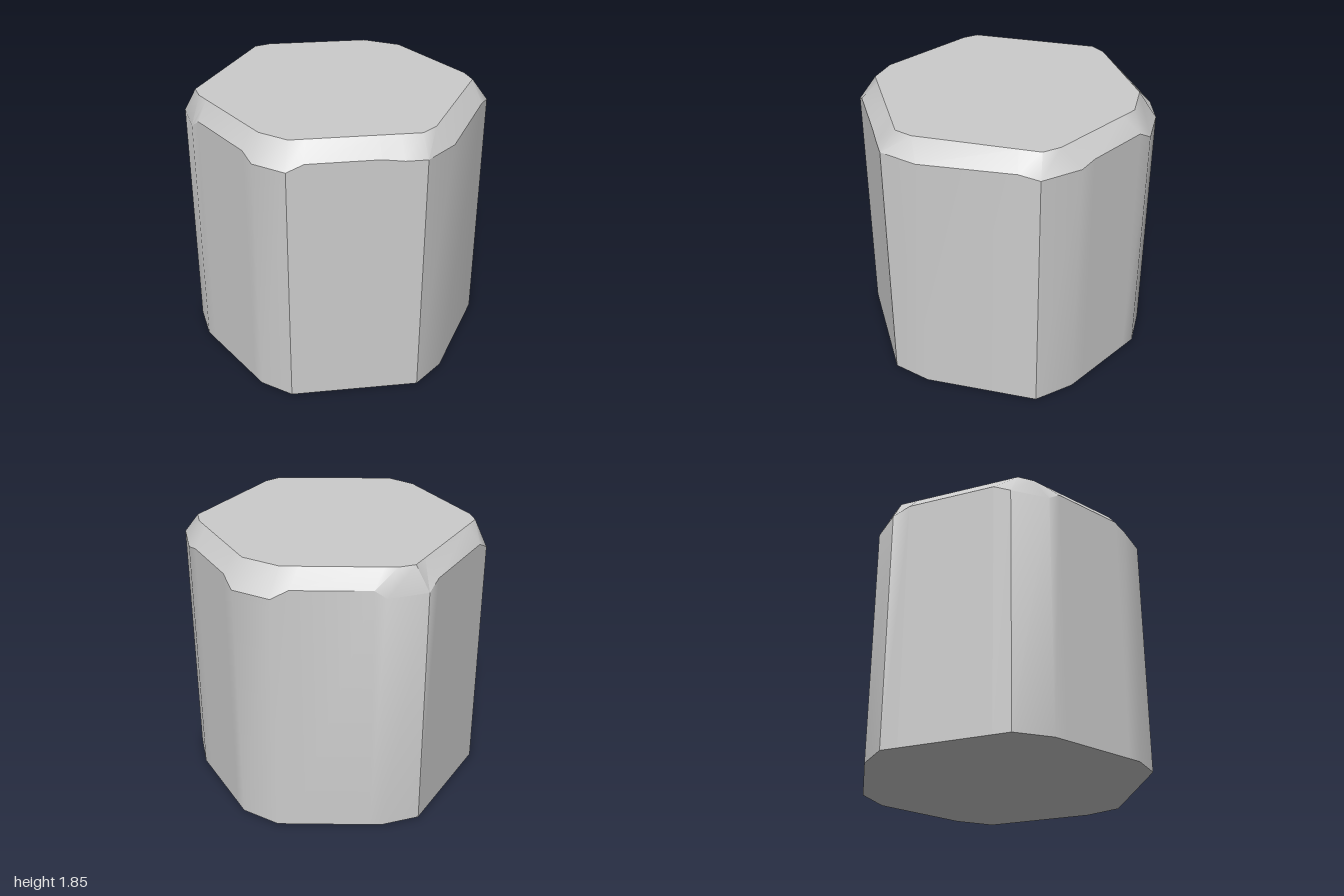
import * as THREE from 'three';
import { toCreasedNormals } from 'three/addons/utils/BufferGeometryUtils.js';

// Corners of the column: [x, z, rim height, x on top face, z on top face]
const CORNERS = [
  [-0.18, -0.99, 1.68, -0.17, -0.87], [0.10, -1.00, 1.675, 0.10, -0.885],
  [0.70, -0.69, 1.715, 0.71, -0.56], [0.905, -0.49, 1.715, 0.80, -0.47],
  [0.935, 0.28, 1.72, 0.83, 0.34], [0.86, 0.54, 1.72, 0.79, 0.46],
  [0.135, 1.00, 1.69, 0.10, 0.89], [-0.105, 0.98, 1.69, -0.11, 0.87],
  [-0.73, 0.65, 1.68, -0.73, 0.54], [-0.91, 0.45, 1.68, -0.81, 0.46],
  [-0.94, -0.41, 1.69, -0.84, -0.41], [-0.77, -0.62, 1.69, -0.77, -0.50],
];
// Along the long sides the rim rises between the corners: [fraction, height]
const RISES = {
  1: [[0.17, 1.74], [0.83, 1.74]],
  3: [[0.18, 1.74]],
  5: [[0.165, 1.72], [0.33, 1.74], [0.87, 1.74]],
  7: [[0.136, 1.74], [0.87, 1.74]],
  9: [[0.14, 1.74], [0.86, 1.74]],
  11: [[0.11, 1.74], [0.84, 1.74]],
};
const TOP = 1.85;

export function createModel() {
  // Full outline: the corners plus the points where the rim rises
  const outline = [];
  CORNERS.forEach((corner, i) => {
    const next = CORNERS[(i + 1) % CORNERS.length];
    outline.push(corner);
    for (const [t, y] of RISES[i] ?? []) {
      const p = corner.map((v, k) => THREE.MathUtils.lerp(v, next[k], t));
      p[2] = y;
      outline.push(p);
    }
  });

  // Cross-sections: base, rim, top face
  const n = outline.length;
  const positions = [
    ...outline.flatMap(([x, z]) => [x, 0, z]),
    ...outline.flatMap(([x, z, y]) => [x, y, z]),
    ...outline.flatMap(([, , , x, z]) => [x, TOP, z]),
    0, 0, 0, 0, TOP, 0,
  ];
  const index = [];
  for (let i = 0; i < n; i++) {
    const j = (i + 1) % n;
    // Wall, then bevel
    for (const low of [0, n]) {
      const high = low + n;
      index.push(low + j, low + i, high + i, low + j, high + i, high + j);
    }
    // Base and top caps
    index.push(3 * n, i, j, 3 * n + 1, 2 * n + j, 2 * n + i);
  }

  const geometry = new THREE.BufferGeometry();
  geometry.setAttribute('position', new THREE.Float32BufferAttribute(positions, 3));
  geometry.setIndex(index);

  const column = new THREE.Mesh(
    toCreasedNormals(geometry, THREE.MathUtils.degToRad(32)),
    new THREE.MeshStandardMaterial({ color: 0xcccccc }),
  );
  column.name = 'stoneColumn';

  const group = new THREE.Group();
  group.name = 'bevelledStoneColumn';
  group.add(column);
  return group;
}
